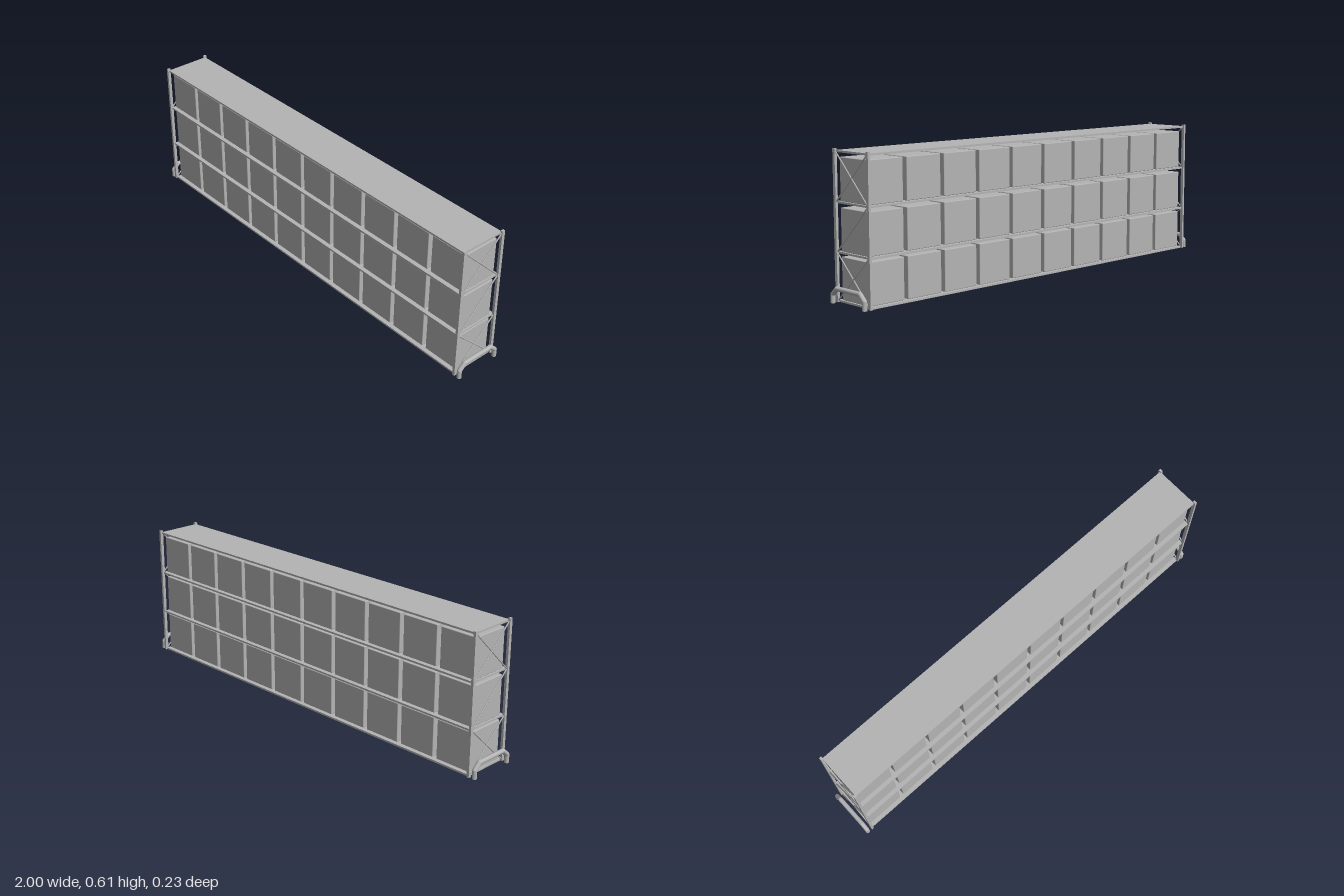
import * as THREE from 'three';
import { RoundedBoxGeometry } from 'three/addons/geometries/RoundedBoxGeometry.js';

const grey = new THREE.MeshStandardMaterial({ color: 0xb4b4b4 });
grey.name = 'grey';

function add(parent, geometry, name, x = 0, y = 0, z = 0) {
  const mesh = new THREE.Mesh(geometry, grey);
  mesh.name = name;
  mesh.position.set(x, y, z);
  parent.add(mesh);
  return mesh;
}

// Round bar between two points
function bar(parent, a, b, radius, sides, name) {
  const dir = b.clone().sub(a);
  const mesh = add(parent, new THREE.CylinderGeometry(radius, radius, dir.length(), sides), name);
  mesh.position.copy(a).add(b).multiplyScalar(0.5);
  mesh.quaternion.setFromUnitVectors(new THREE.Vector3(0, 1, 0), dir.normalize());
}

const LEVELS = [0.0005, 0.196, 0.396, 0.597];
const SHELF = 0.008;

// End frame: two posts and the diagonal bracing between them
function makeEndFrame() {
  const frame = new THREE.Group();
  frame.name = 'endFrame';
  const x = 0.966;
  for (const s of [-1, 1]) {
    add(frame, new THREE.BoxGeometry(0.011, 0.612, 0.0145), 'post', x, 0.306, s * 0.1055);
  }
  for (let i = 0; i < 3; i++) {
    const low = LEVELS[i] + 0.007, high = LEVELS[i + 1] + 0.003;
    const directions = i === 1 ? [1] : [1, -1];
    for (const s of directions) {
      bar(frame, new THREE.Vector3(x, low, s * 0.1), new THREE.Vector3(x, high, -s * 0.1),
        0.003, 8, 'brace');
    }
  }
  return frame;
}

// Bent tube guard standing just outside an end frame
function makeGuard(side) {
  const guard = new THREE.Group();
  guard.name = 'endGuard';
  const radius = 0.01;
  const path = [[0.1025, 0], [0.1025, 0.035], [0.075, 0.061], [-0.075, 0.061], [-0.1025, 0.035], [-0.1025, 0]]
    .map(([z, y]) => new THREE.Vector3(side * 0.99, y, z + 0.002));
  for (let i = 0; i < path.length - 1; i++) {
    bar(guard, path[i], path[i + 1], radius, 16, 'guardTube');
    if (i > 0) add(guard, new THREE.SphereGeometry(radius, 16, 12), 'guardElbow', ...path[i].toArray());
  }
  return guard;
}

export function createModel() {
  const rack = new THREE.Group();
  rack.name = 'storageRack';

  // Shelves
  for (const y of LEVELS) {
    add(rack, new THREE.BoxGeometry(1.926, SHELF, 0.211), 'shelf', 0, y + SHELF / 2, 0);
  }

  // Ten boxes on each of the three lower shelves
  const box = new RoundedBoxGeometry(0.174, 0.175, 0.175, 2, 0.003);
  for (let level = 0; level < 3; level++) {
    for (let i = 0; i < 10; i++) {
      add(rack, box, 'box', (i - 4.5) * 0.1932, LEVELS[level] + SHELF + 0.0875, 0);
    }
  }

  // The two ends are half-turn copies of each other
  const frame = makeEndFrame();
  const farFrame = frame.clone();
  farFrame.rotation.y = Math.PI;
  rack.add(frame, farFrame, makeGuard(1), makeGuard(-1));
  return rack;
}
